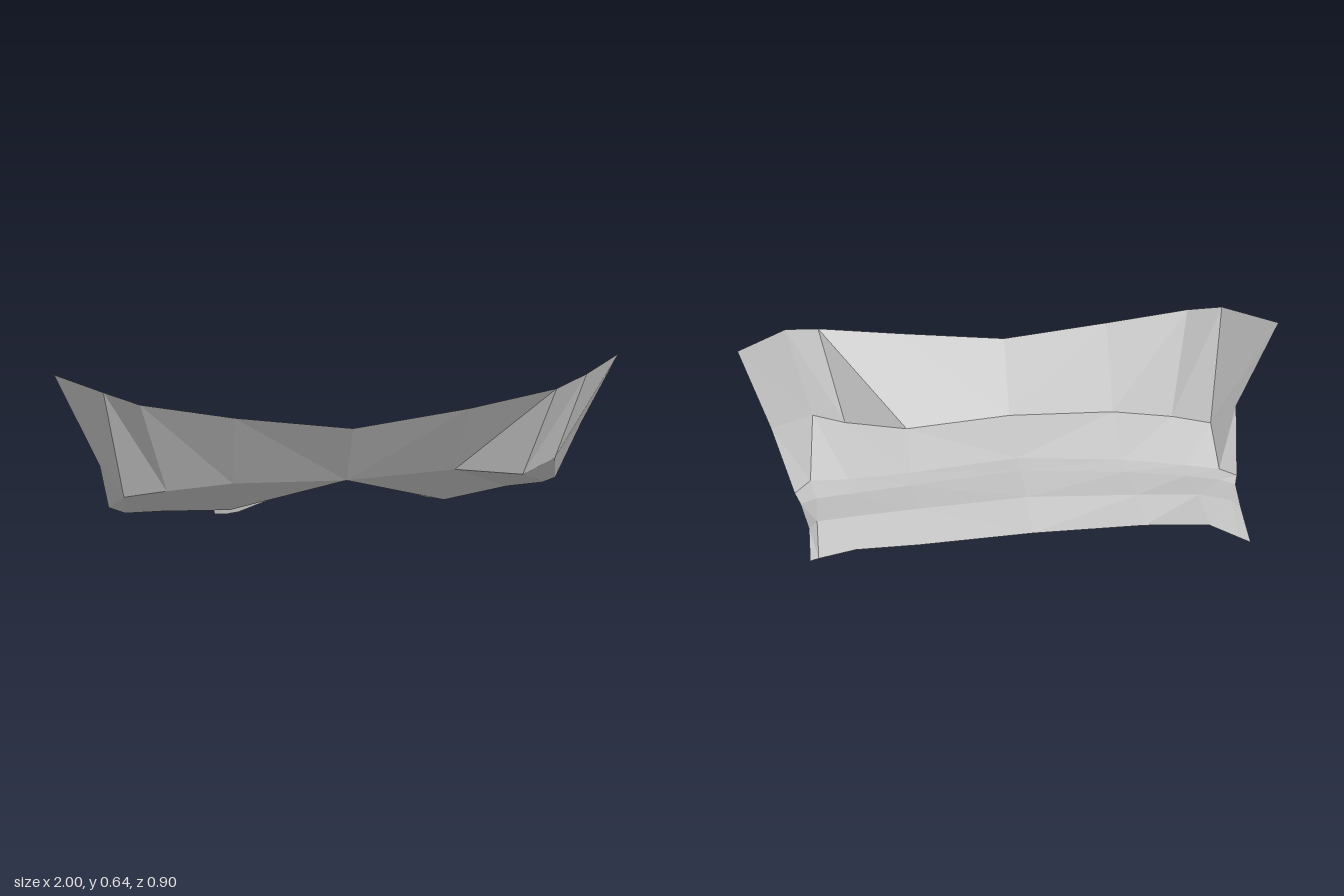
import * as THREE from 'three';

export function createModel() {
  const model = new THREE.Group();
  const grey = new THREE.MeshStandardMaterial({ color: 0xc2c2c2, side: THREE.DoubleSide, flatShading: true });
  grey.name = 'plainGrey';

  // Each section runs from the centre to the left side; the other half is mirrored,
  // with replacements where the panel is lopsided.
  const section = (half, other = {}) => {
    const mirrored = half.slice(1).map(([x, y, z], i) => other[i + 1] || [-x, y, z]);
    return [...mirrored.reverse(), ...half];
  };

  // Upper rim, sweeping back into the side wings
  const rim = section([[0, 0.5, 0.45], [0.4, 0.55, 0.437], [0.71, 0.6, 0.41], [0.83, 0.63, 0.352], [1, 0.64, 0.16]]);

  // Crease where the fascia meets the floor
  const crease = section(
    [[0, 0.25, 0.285], [0.4, 0.25, 0.225], [0.63, 0.25, 0.305], [0.75, 0.3, 0.285], [0.9, 0.36, 0.085]],
    { 1: [-0.4, 0.25, 0.265], 2: [-0.63, 0.225, 0.245], 3: [-0.78, 0.2, 0.22], 4: [-0.86, 0.3, 0.16] });

  // Nearly flat upper side of the floor
  const floor = [
    section([[0, 0.2, 0.035], [0.4, 0.165, 0.035], [0.63, 0.15, 0.04], [0.77, 0.15, 0.05], [0.83, 0.12, 0.015]],
      { 2: [-0.65, 0.12, 0.04], 3: [-0.78, 0.09, 0.05], 4: [-0.84, 0.08, 0.01] }),
    section([[0, 0.195, -0.05], [0.4, 0.155, -0.04], [0.63, 0.135, -0.04], [0.75, 0.125, -0.04], [0.81, 0.105, -0.04]],
      { 2: [-0.63, 0.12, -0.04], 3: [-0.76, 0.095, -0.04], 4: [-0.82, 0.075, -0.05] }),
    section([[0, 0.195, -0.245], [0.4, 0.175, -0.245], [0.63, 0.16, -0.245], [0.75, 0.15, -0.245], [0.78, 0.125, -0.25]],
      { 3: [-0.75, 0.13, -0.25], 4: [-0.79, 0.09, -0.25] }),
  ];

  // Arched underside, lowest on either side of the centre
  const belly = [
    section([[0, 0.17, 0.035], [0.4, 0.06, 0.04], [0.63, 0.115, 0.07], [0.77, 0.12, 0.06], [0.83, 0.12, 0.015]],
      { 2: [-0.65, 0.08, 0.07], 3: [-0.78, 0.075, 0.06], 4: [-0.84, 0.08, 0.01] }),
    section([[0, 0.16, -0.05], [0.4, 0.04, -0.02], [0.63, 0.1, -0.03], [0.75, 0.105, -0.03], [0.81, 0.105, -0.04]],
      { 2: [-0.63, 0.075, -0.03], 3: [-0.76, 0.07, -0.03], 4: [-0.82, 0.075, -0.05] }),
    section([[0, 0.165, -0.245], [0.4, 0.08, -0.23], [0.63, 0.11, -0.24], [0.75, 0.12, -0.24], [0.78, 0.125, -0.25]],
      { 2: [-0.63, 0.085, -0.24], 3: [-0.75, 0.08, -0.25], 4: [-0.79, 0.09, -0.25] }),
  ];

  // Rear edge with one projecting corner
  const rear = section(
    [[0, 0.137, -0.398], [0.4, 0.115, -0.39], [0.62, 0.1, -0.37], [0.75, 0.09, -0.395], [0.78, 0.085, -0.4]],
    { 1: [-0.4, 0.14, -0.4], 2: [-0.62, 0.157, -0.455], 3: [-0.74, 0.075, -0.42], 4: [-0.79, 0.04, -0.403] });

  // Join neighbouring sections into a faceted sheet, diagonals mirrored about the centre
  function sheet(name, rows, flip = false) {
    const n = rows[0].length;
    const index = [];
    for (let r = 0; r < rows.length - 1; r++) {
      for (let c = 0; c < n - 1; c++) {
        const a = r * n + c, b = a + 1, d = a + n, e = d + 1;
        if ((c < (n - 1) / 2) === flip) index.push(a, d, b, b, d, e);
        else index.push(a, d, e, a, e, b);
      }
    }
    const geometry = new THREE.BufferGeometry();
    geometry.setAttribute('position', new THREE.Float32BufferAttribute(rows.flat(2), 3));
    geometry.setIndex(index);
    const faceted = geometry.toNonIndexed();
    faceted.computeVertexNormals();
    const mesh = new THREE.Mesh(faceted, grey);
    mesh.name = name;
    model.add(mesh);
  }

  sheet('fascia', [rim, crease]);
  sheet('upperFloor', [crease, ...floor, rear]);
  sheet('underside', [crease, ...belly, rear], true);

  // Arched lip hanging below the underside
  const half = [[0.08, 0.115], [0.36, 0.03], [0.41, 0.023], [0.45, 0.025], [0.47, 0.075], [0.38, 0.07], [0.08, 0.158]];
  const outline = half.concat(half.map(([x, y]) => [-x, y]).reverse());
  const lipShape = new THREE.Shape(outline.map(([x, y]) => new THREE.Vector2(x, x < -0.3 && y < 0.04 ? y - 0.022 : y)));
  const lipGeometry = new THREE.ExtrudeGeometry(lipShape, { depth: 0.028, bevelEnabled: false });
  lipGeometry.translate(0, 0, -0.085);
  // Taper the front face back towards the lower edge
  const position = lipGeometry.attributes.position;
  for (let i = 0; i < position.count; i++) {
    if (position.getZ(i) > -0.07 && position.getY(i) < 0.04) position.setZ(i, -0.066);
  }
  lipGeometry.computeVertexNormals();
  const lip = new THREE.Mesh(lipGeometry, grey);
  lip.name = 'lowerLip';
  model.add(lip);

  return model;
}
